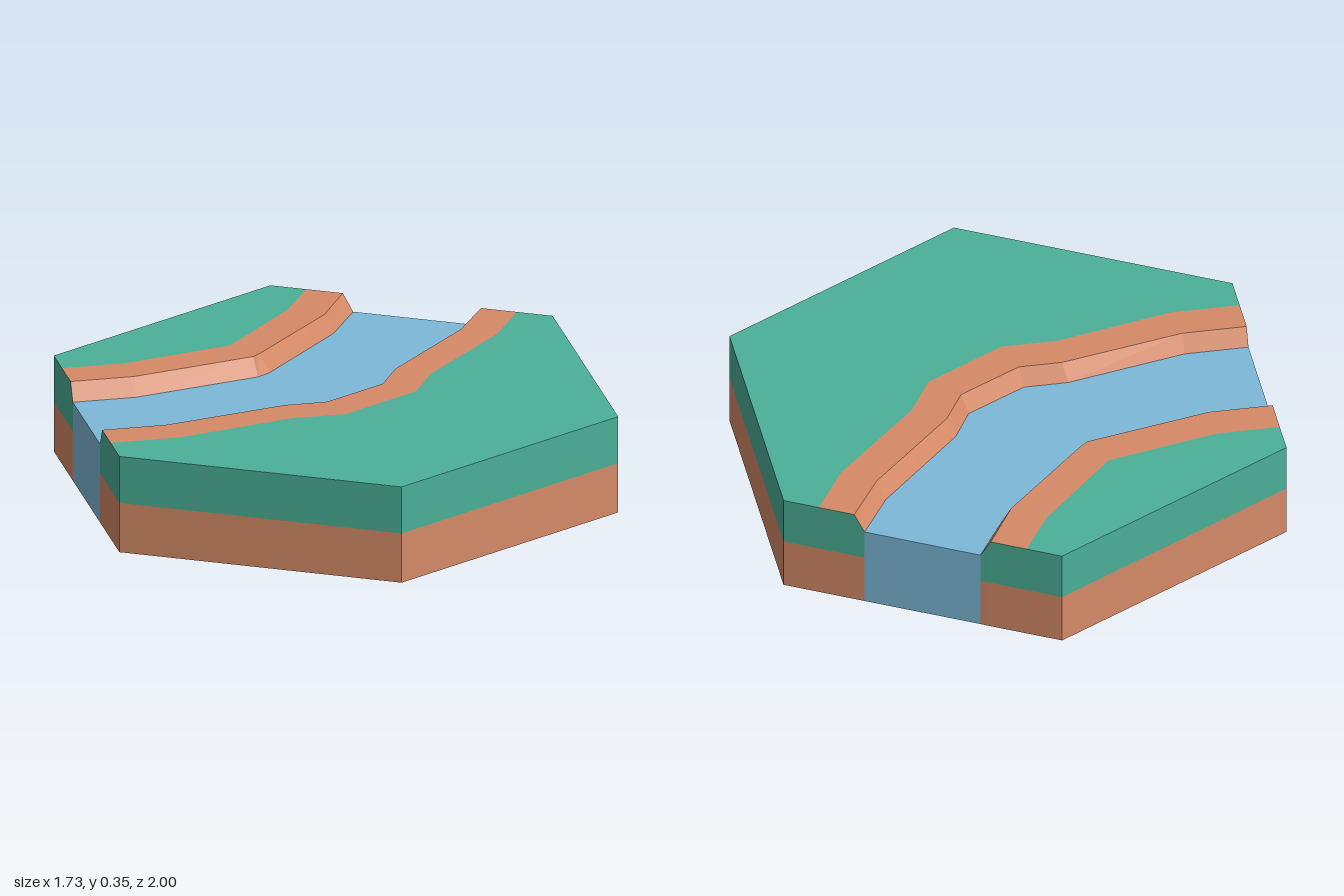
import * as THREE from 'three';

const TOP = 0.346, WATER = 0.283, SPLIT = 0.178, X = 0.866;

// Bank outlines as [x, z], running from the left edge to the back right edge.
const northGrassEdge = [[-X, -0.375], [-0.65, -0.375], [-0.26, -0.465], [0.01, -0.765], [0.11, -0.9365]];
const northCrest = [[-X, -0.243], [-0.645, -0.243], [-0.21, -0.341], [-0.185, -0.362], [0.116, -0.685], [0.222, -0.872]];
const northShore = [[-X, -0.21], [-0.645, -0.21], [-0.2, -0.31], [-0.153, -0.341], [0.143, -0.664], [0.254, -0.853]];
const southShore = [[-X, 0.204], [-0.645, 0.204], [-0.228, 0.108], [-0.074, 0.108], [0.138, -0.013], [0.206, -0.14], [0.508, -0.468], [0.614, -0.6455]];
const southCrest = [[-X, 0.237], [-0.645, 0.237], [-0.212, 0.14], [-0.063, 0.14], [0.159, 0.013], [0.233, -0.119], [0.534, -0.442], [0.646, -0.627]];
const southGrassEdge = [[-X, 0.366], [-0.624, 0.366], [-0.217, 0.27], [-0.026, 0.27], [0.254, 0.108], [0.339, -0.045], [0.645, -0.373], [0.757, -0.563]];
const hexagon = [[0, -1], [X, -0.5], [X, 0.5], [0, 1], [-X, 0.5], [-X, -0.5]];

const reversed = (line) => [...line].reverse();
const first = (line) => line[0];
const last = (line) => line[line.length - 1];
// Lift a plan outline to a height, or to one height per point.
const lift = (line, y) => line.map(([x, z], i) => [x, Array.isArray(y) ? y[i] : y, z]);

// Horizontal plate facing up (or down for the underside).
function plate(outline, y, down = false) {
  const s = down ? 1 : -1;
  const shape = new THREE.Shape(outline.map(([x, z]) => new THREE.Vector2(x, s * z)));
  return new THREE.ShapeGeometry(shape).rotateX(s * Math.PI / 2).translate(0, y, 0);
}

// Row of flat quads between a lower and an upper line.
function strip(lower, upper) {
  const pos = [];
  for (let i = 0; i + 1 < lower.length; i++) {
    const [a, b, c, d] = [lower[i], lower[i + 1], upper[i + 1], upper[i]];
    pos.push(...a, ...b, ...c, ...a, ...c, ...d);
  }
  const g = new THREE.BufferGeometry();
  g.setAttribute('position', new THREE.Float32BufferAttribute(pos, 3));
  g.computeVertexNormals();
  return g;
}

export function createModel() {
  const group = new THREE.Group();
  group.name = 'riverTile';
  const material = (name, color) => {
    const m = new THREE.MeshStandardMaterial({ color });
    m.name = name;
    return m;
  };
  const grass = material('grass', 0x4bb098);
  const dirt = material('dirt', 0xd68a67);
  const water = material('water', 0x7db9d9);
  const add = (name, geometry, mat) => {
    const mesh = new THREE.Mesh(geometry, mat);
    mesh.name = name;
    group.add(mesh);
  };

  // Flat tops and underside
  add('northGrass', plate([...northGrassEdge, hexagon[0], hexagon[5]], TOP), grass);
  add('southGrass', plate([...southGrassEdge, ...hexagon.slice(1, 5)], TOP), grass);
  add('northBankTop', plate([...northGrassEdge, ...reversed(northCrest)], TOP), dirt);
  add('southBankTop', plate([...southGrassEdge, ...reversed(southCrest)], TOP), dirt);
  add('riverSurface', plate([...northShore, ...reversed(southShore)], WATER), water);
  add('underside', plate(hexagon, 0, true), dirt);

  // Sloping river banks
  add('northBankSlope', strip(lift(northShore, WATER), lift(northCrest, TOP)), dirt);
  add('southBankSlope', strip(lift(reversed(southShore), WATER), lift(reversed(southCrest), TOP)), dirt);

  // Outer walls: grass layer over dirt layer, dipping to the water at each end
  const walls = {
    north: [last(northShore), last(northCrest), hexagon[0], hexagon[5], first(northCrest), first(northShore)],
    south: [first(southShore), first(southCrest), hexagon[4], hexagon[3], hexagon[2], hexagon[1], last(southCrest), last(southShore)],
  };
  for (const [side, line] of Object.entries(walls)) {
    const heights = line.map((_, i) => (i === 0 || i === line.length - 1 ? WATER : TOP));
    add(side + 'GrassWall', strip(lift(line, SPLIT), lift(line, heights)), grass);
    add(side + 'DirtWall', strip(lift(line, 0), lift(line, SPLIT)), dirt);
  }

  // Cut faces of the river at both ends
  const ends = {
    left: [first(northShore), first(southShore)],
    back: [last(southShore), last(northShore)],
  };
  for (const [side, line] of Object.entries(ends)) {
    add(side + 'RiverEnd', strip(lift(line, 0), lift(line, WATER)), water);
  }
  return group;
}
